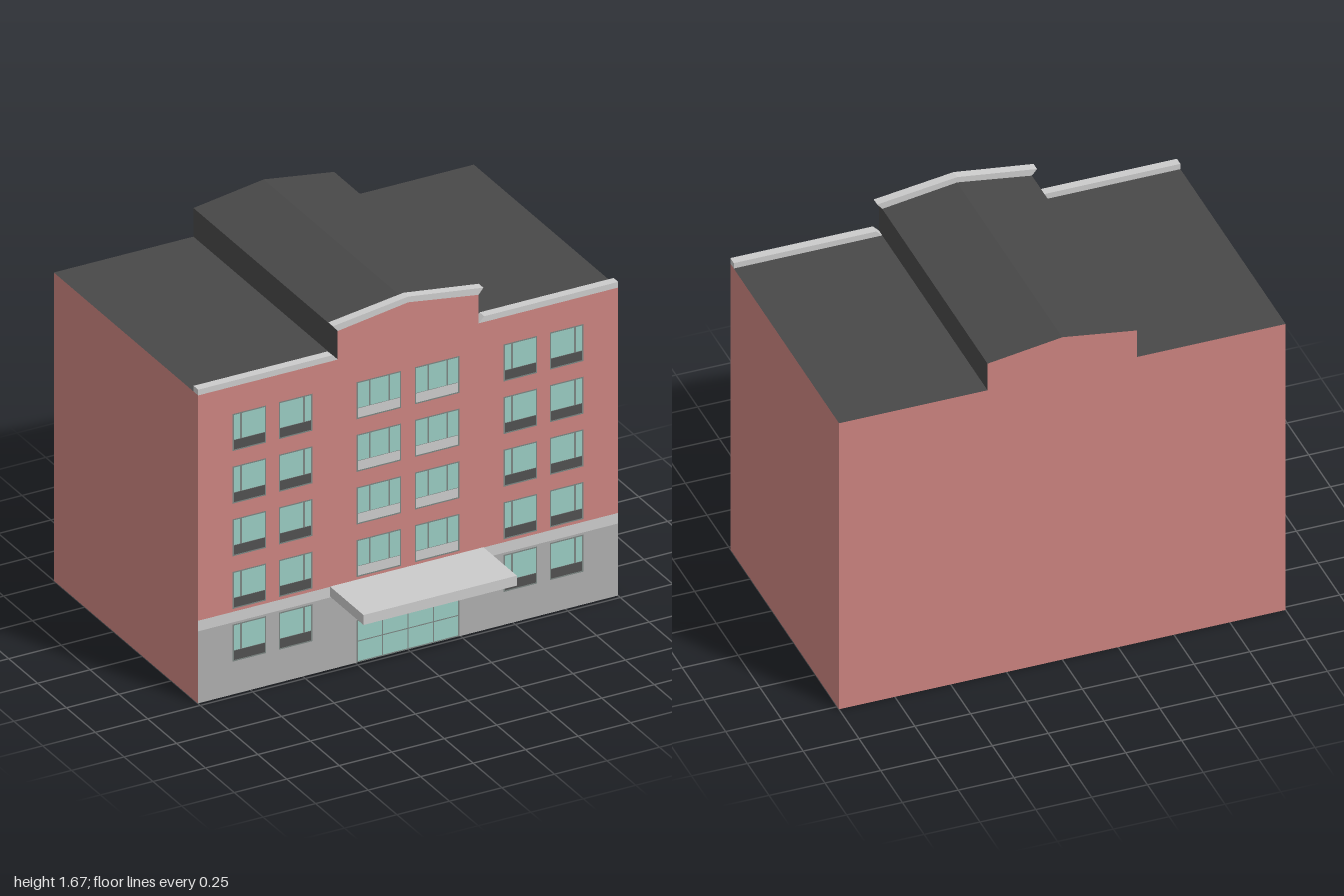
import * as THREE from 'three';

const FRONT = 0.48, BACK = -0.77, EAVE = 1.455;
const BAND0 = 0.34, BAND1 = 0.39;

const mat = (color) => new THREE.MeshStandardMaterial({ color, side: THREE.DoubleSide, flatShading: true });
const M = {
  brick: mat(0xcc8480),
  base: mat(0xaeaeae),
  trim: mat(0xcccccc),
  roof: mat(0x484848),
  glass: mat(0x9accc2),
  frame: mat(0x7c8683),
  panel: mat(0x505050),
};

const poly = (pts) => new THREE.Shape(pts.map(([x, y]) => new THREE.Vector2(x, y)));
const rect = (x0, x1, y0, y1) => poly([[x0, y0], [x1, y0], [x1, y1], [x0, y1]]);

// Roof outline from the left edge to the right edge, with the raised centre bay
const roofLine = [[-1, EAVE], [-0.335, EAVE], [-0.335, 1.59], [0, 1.64], [0.335, 1.59], [0.335, EAVE], [1, EAVE]];

// Sweeps a profile in x,y straight back through z, flat on each segment
function sweep(profile, z0, z1) {
  const p = [];
  for (let i = 0; i + 1 < profile.length; i++) {
    const [ax, ay] = profile[i], [bx, by] = profile[i + 1];
    p.push(ax, ay, z0, bx, by, z0, bx, by, z1, ax, ay, z0, bx, by, z1, ax, ay, z1);
  }
  const g = new THREE.BufferGeometry();
  g.setAttribute('position', new THREE.Float32BufferAttribute(p, 3));
  g.computeVertexNormals();
  return g;
}

export function createModel() {
  const group = new THREE.Group();
  const add = (name, geometry, material, z = 0) => {
    const mesh = new THREE.Mesh(geometry, material);
    mesh.name = name;
    mesh.position.z = z;
    group.add(mesh);
    return mesh;
  };

  const panes = [], frames = [], darkPanels = [], lightPanels = [];
  const upperHoles = [], groundHoles = [];

  // A framed opening: glass split at the given lines, optional spandrel below
  function glazing(x0, x1, y0, y1, xCuts, yCuts, bar, panels) {
    const frame = rect(x0, x1, y0, y1);
    const edge = 0.006;
    const fill = (list, a, b, c, d) => {
      list.push(rect(a, b, c, d));
      frame.holes.push(rect(a, b, c, d));
    };
    let bottom = y0 + edge;
    if (panels) {
      fill(panels, x0 + edge, x1 - edge, bottom, y0 + 0.05);
      bottom = y0 + 0.052;
    }
    const spans = (lo, hi, cuts) => {
      const marks = [lo, ...cuts.flatMap((c) => [c - bar / 2, c + bar / 2]), hi];
      return Array.from({ length: marks.length / 2 }, (_, i) => [marks[2 * i], marks[2 * i + 1]]);
    };
    for (const [a, b] of spans(x0 + edge, x1 - edge, xCuts))
      for (const [c, d] of spans(bottom, y1 - edge, yCuts)) fill(panes, a, b, c, d);
    frames.push(frame);
  }

  // Windows, five storeys; the centre pair starts above the entrance
  for (let floor = 0; floor < 5; floor++) {
    const y0 = 0.155 + floor * 0.2485, y1 = y0 + 0.175;
    const holes = floor === 0 ? groundHoles : upperHoles;
    for (const [x0, x1, cut] of [[-0.835, -0.675, -0.795], [-0.615, -0.455, -0.495],
      [0.455, 0.615, 0.495], [0.675, 0.835, 0.795]]) {
      glazing(x0, x1, y0, y1, [cut], [], 0.01, darkPanels);
      holes.push(rect(x0, x1, y0, y1));
    }
    if (floor === 0) continue;
    for (const [x0, x1] of [[-0.245, -0.033], [0.033, 0.245]]) {
      const w = x1 - x0;
      glazing(x0, x1, y0, y1, [x0 + w * 0.3, x0 + w * 0.73], [], 0.007, lightPanels);
      holes.push(rect(x0, x1, y0, y1));
    }
  }

  // Entrance doors and the transom above them
  const columns = [-0.122, 0, 0.122];
  glazing(-0.245, 0.245, 0, 0.2, columns, [0.1], 0.005);
  glazing(-0.245, 0.245, 0.22, 0.33, columns, [0.275], 0.005);
  groundHoles.push(rect(-0.245, 0.245, 0.22, 0.33));

  // Front wall: ground floor, stone band and brick above
  const ground = poly([[-1, 0], [-0.245, 0], [-0.245, 0.2], [0.245, 0.2], [0.245, 0], [1, 0], [1, BAND0], [-1, BAND0]]);
  ground.holes.push(...groundHoles);
  add('groundFloorWall', new THREE.ShapeGeometry(ground), M.base, FRONT);
  add('stoneBand', new THREE.ShapeGeometry(rect(-1, 1, BAND0, BAND1)), M.trim, FRONT);
  const brick = poly([[1, BAND1], [-1, BAND1], ...roofLine]);
  brick.holes.push(...upperHoles);
  add('frontBrickWall', new THREE.ShapeGeometry(brick), M.brick, FRONT);

  add('windowGlass', new THREE.ShapeGeometry(panes), M.glass, FRONT);
  add('windowFrames', new THREE.ShapeGeometry(frames), M.frame, FRONT);
  add('darkWindowPanels', new THREE.ShapeGeometry(darkPanels), M.panel, FRONT);
  add('lightWindowPanels', new THREE.ShapeGeometry(lightPanels), M.trim, FRONT);

  // Side and back walls, open underneath
  add('leftWall', sweep([[1, EAVE], [1, 0]], FRONT, BACK), M.brick);
  add('rightWall', sweep([[-1, 0], [-1, EAVE]], FRONT, BACK), M.brick);
  add('backWall', new THREE.ShapeGeometry(poly([[1, 0], [-1, 0], ...roofLine])), M.brick, BACK).rotation.y = Math.PI;

  add('roof', sweep(roofLine, FRONT, BACK), M.roof);

  // Cornices along the front edge of the roof
  const cornice = (name, pts) => add(name,
    new THREE.ExtrudeGeometry(poly(pts), { depth: 0.04, bevelEnabled: false }), M.trim, FRONT - 0.038);
  for (const [name, s] of [['leftCornice', 1], ['rightCornice', -1]])
    cornice(name, [[s, EAVE], [s * 0.335, EAVE], [s * 0.362, 1.482], [s, 1.482]]);
  cornice('gableCornice', [[-0.335, 1.59], [0, 1.64], [0.335, 1.59], [0.358, 1.618], [0, 1.667], [-0.358, 1.618]]);

  // Entrance canopy
  const canopy = add('entranceCanopy', new THREE.BoxGeometry(0.73, 0.047, 0.29), M.trim, FRONT + 0.145);
  canopy.position.set(-0.006, 0.368, FRONT + 0.145);

  return group;
}
